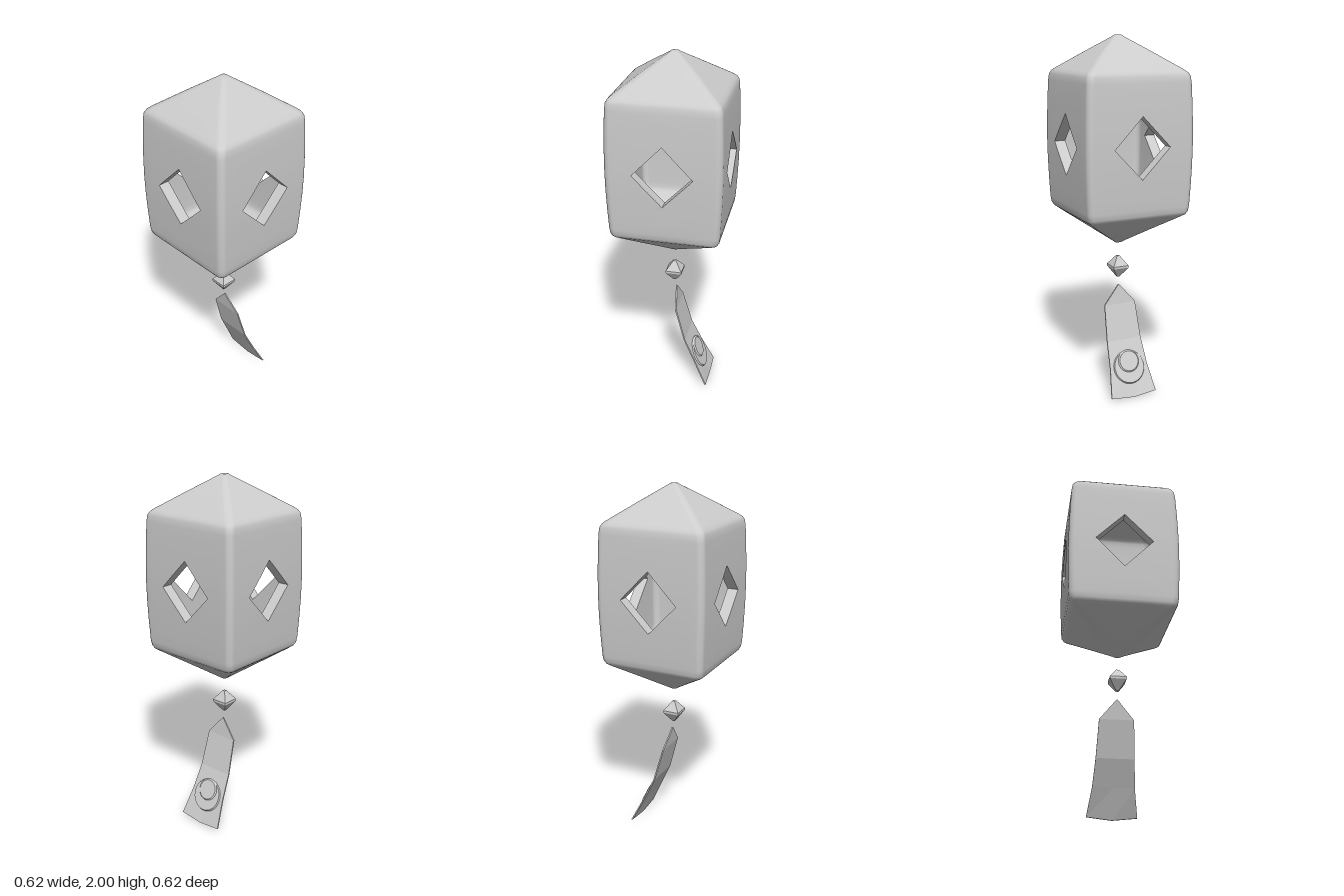
import * as THREE from 'three';
import { mergeVertices } from 'three/addons/utils/BufferGeometryUtils.js';

const MID = 1.43, HOLE_X = 0.16, HOLE_Y = 0.165;

// Half-width and height along the body, from the top tip to the bottom tip
const ROOF = [[0, 2], [0.018, 2], [0.032, 1.99], [0.15, 1.91], [0.268, 1.825], [0.286, 1.81], [0.295, 1.793]];
const WALL = [1.76, 1.65, 1.54, MID, 1.32, 1.21, 1.1];
const BASE = [[0.295, 1.068], [0.286, 1.051], [0.268, 1.037], [0.15, 0.953], [0.032, 0.87], [0.018, 0.86], [0, 0.86]];
const FLAT = [-1, -0.5, 0, 0.5, 1];
const ARC = [15, 30, 45].map(a => a * Math.PI / 180);

// Slightly bulging wall
const wallHalf = y => 0.298 + 0.011 * Math.cos((y - MID) / 0.36 * Math.PI / 2);

function geometryFrom(triangles) {
  const g = new THREE.BufferGeometry().setFromPoints(triangles);
  const merged = mergeVertices(g, 1e-5);
  merged.computeVertexNormals();
  return merged;
}

// One layer of the rounded square body, with a diamond opening on each side
function shell(sx, sy, inward) {
  const tris = [], hole = [];
  const scaleY = y => MID + (y - MID) * sy;
  const rows = [...ROOF, ...WALL.map(y => [wallHalf(y), y]), ...BASE]
    .map(([h, y]) => [h * sx, scaleY(y)]);
  const radius = h => Math.min(0.035, h * 0.6);

  const section = ([h, y]) => {
    const r = radius(h), c = h - r;
    const arc = (a, s) => new THREE.Vector3(s * (c + r * Math.sin(a)), y, c + r * Math.cos(a));
    return [...[...ARC].reverse().map(a => arc(a, -1)),
      ...FLAT.map(f => new THREE.Vector3(f * c, y, h)), ...ARC.map(a => arc(a, 1))];
  };
  const quad = (a, b, c, d) => {
    for (const t of [[a, b, c], [a, c, d]]) {
      const area = t[1].clone().sub(t[0]).cross(t[2].clone().sub(t[0])).length();
      if (area > 1e-9) tris.push(...(inward ? [t[0], t[2], t[1]] : t));
    }
  };

  const loops = rows.map(section);
  const first = ROOF.length, last = first + WALL.length - 1;
  const left = ARC.length, right = left + FLAT.length - 1;
  for (let i = 0; i < loops.length - 1; i++) {
    for (let j = 0; j < loops[i].length - 1; j++) {
      if (i >= first && i < last && j >= left && j < right) continue;
      quad(loops[i][j], loops[i + 1][j], loops[i + 1][j + 1], loops[i][j + 1]);
    }
  }

  // Panel around the opening, counterclockwise from its upper left corner
  const rim = [];
  for (let i = first; i < last; i++) rim.push(loops[i][left]);
  for (let j = left; j < right; j++) rim.push(loops[last][j]);
  for (let i = last; i > first; i--) rim.push(loops[i][right]);
  for (let j = right; j > left; j--) rim.push(loops[first][j]);
  const rings = [1, 0.67, 0.33, 0].map(s => rim.map(p => {
    if (s === 1) return p;
    const dx = p.x, dy = p.y - MID;
    const k = 1 / (Math.abs(dx) / HOLE_X + Math.abs(dy) / HOLE_Y);
    const m = k + (1 - k) * s, y = MID + dy * m;
    return new THREE.Vector3(dx * m, y, wallHalf(MID + (y - MID) / sy) * sx);
  }));
  const n = rim.length;
  for (let k = 0; k < rings.length - 1; k++) {
    for (let i = 0; i < n; i++) {
      const j = (i + 1) % n;
      quad(rings[k][i], rings[k][j], rings[k + 1][j], rings[k + 1][i]);
    }
  }
  hole.push(...rings[rings.length - 1]);

  // Repeat on all four sides
  const up = new THREE.Vector3(0, 1, 0), all = [];
  for (let q = 0; q < 4; q++) all.push(...tris.map(p => p.clone().applyAxisAngle(up, q * Math.PI / 2)));
  return { geometry: geometryFrom(all), hole };
}

// Flat faces lining one diamond opening
function holeLining(outer, inner) {
  const pts = [];
  outer.forEach((a, i) => {
    const j = (i + 1) % outer.length;
    pts.push(a, outer[j], inner[j], a, inner[j], inner[i]);
  });
  const g = new THREE.BufferGeometry().setFromPoints(pts);
  g.computeVertexNormals();
  return g;
}

// Curved paper strip, pointed at the top and flared at the bottom
function stripGeometry() {
  const path = [[0.215, 0.015, 0.138], [0.145, 0.16, 0.115], [0.08, 0.3, 0.105], [0.025, 0.5, 0.095], [0.01, 0.61, 0.002]];
  const g = new THREE.BoxGeometry(0.008, path.length - 1, 2, 1, path.length - 1, 2);
  const pos = g.attributes.position;
  for (let i = 0; i < pos.count; i++) {
    const row = Math.round(pos.getY(i) + (path.length - 1) / 2);
    const [x, y, w] = path[row], z = pos.getZ(i);
    const dip = row === 0 && Math.abs(z) < 0.5 ? 0.015 : 0;
    pos.setXYZ(i, x + pos.getX(i), y - dip, z * w);
  }
  const flat = g.toNonIndexed();
  flat.computeVertexNormals();
  return flat;
}

export function createModel() {
  const model = new THREE.Group();
  const paleGrey = new THREE.MeshStandardMaterial({ color: 0xcccccc });
  const add = (parent, name, geometry) => {
    const mesh = new THREE.Mesh(geometry, paleGrey);
    mesh.name = name;
    parent.add(mesh);
    return mesh;
  };

  // Hollow lantern body
  const body = new THREE.Group();
  body.name = 'body';
  model.add(body);
  const outer = shell(1, 1, false), inner = shell(0.8, 0.86, true);
  add(body, 'outerShell', outer.geometry);
  add(body, 'innerShell', inner.geometry);
  const lining = holeLining(outer.hole, inner.hole);
  for (let q = 0; q < 4; q++) add(body, 'windowLining', lining).rotation.y = q * Math.PI / 2;

  // Small faceted bead
  const d = Math.SQRT2;
  const beadProfile = [[0, 0.655], [0.008 * d, 0.655], [0.046 * d, 0.712], [0.046 * d, 0.725], [0.008 * d, 0.778], [0, 0.778]];
  const bead = new THREE.LatheGeometry(beadProfile.map(p => new THREE.Vector2(...p)), 4, Math.PI / 4).toNonIndexed();
  bead.computeVertexNormals();
  add(model, 'bead', bead);

  // Hanging strip with a two-tier round emblem on its outer side
  add(model, 'strip', stripGeometry());
  const emblem = new THREE.Group();
  emblem.name = 'emblem';
  emblem.position.set(0.149, 0.157, 0);
  emblem.rotation.z = -1.12;
  model.add(emblem);
  add(emblem, 'emblemDisc', new THREE.CylinderGeometry(0.09, 0.096, 0.012, 32)).position.y = 0.004;
  add(emblem, 'emblemButton', new THREE.CylinderGeometry(0.056, 0.064, 0.008, 32)).position.set(-0.032, 0.013, 0);

  return model;
}
